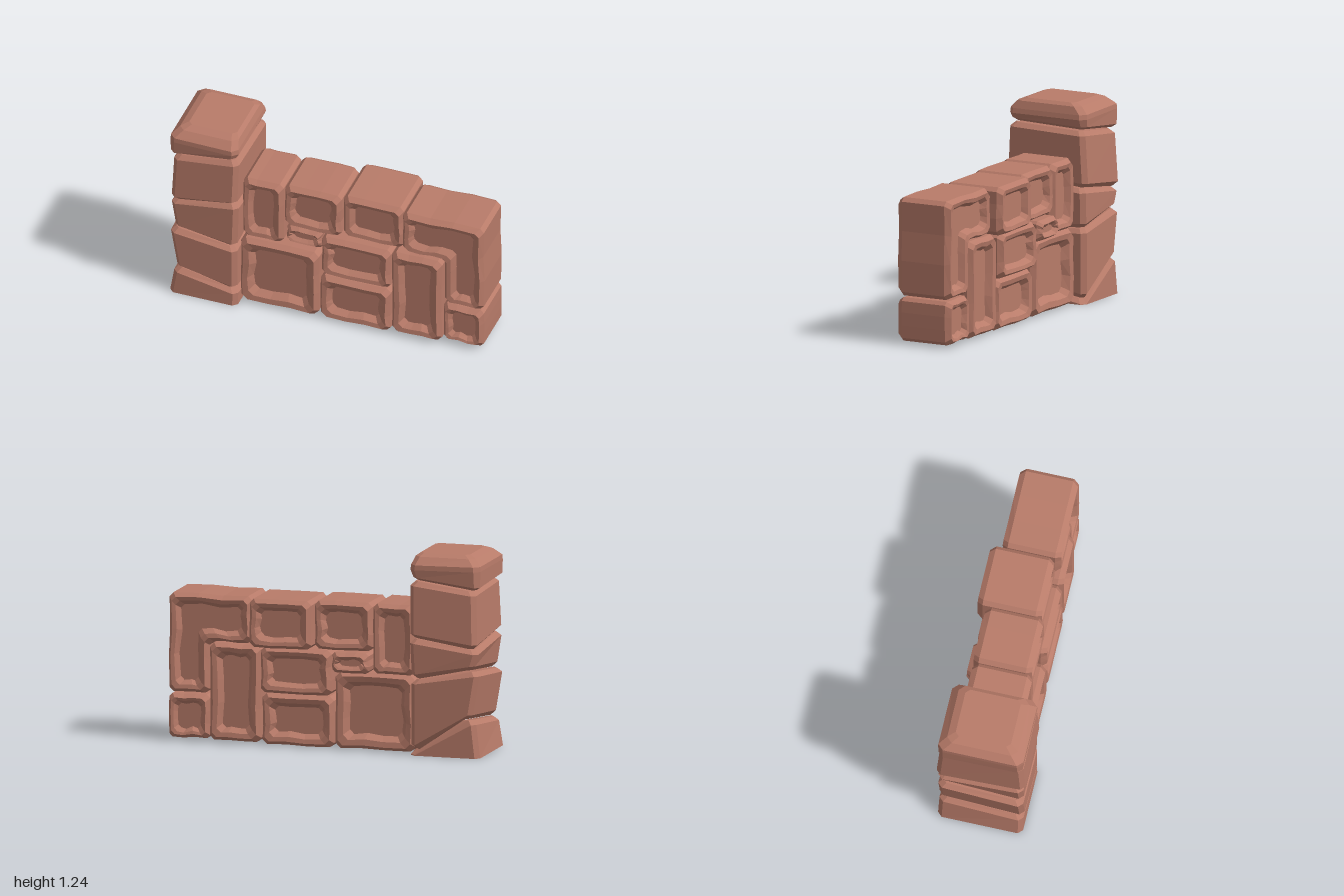
import * as THREE from 'three';

const clay = new THREE.MeshStandardMaterial({ color: 0xb87b69, flatShading: true });
clay.name = 'clay stone';

// Joins rings of [x, y, z] stacked along +z (each counter-clockwise) and caps both ends.
function loft(rings) {
  const n = rings[0].length, pos = rings.flat(2), index = [];
  for (let r = 0; r < rings.length - 1; r++) {
    for (let i = 0; i < n; i++) {
      const a = r * n + i, b = r * n + (i + 1) % n;
      index.push(a, b, b + n, a, b + n, a + n);
    }
  }
  for (const [r, flip] of [[0, true], [rings.length - 1, false]]) {
    const flat = rings[r].map(p => new THREE.Vector2(p[0], p[1]));
    for (const [a, b, c] of THREE.ShapeUtils.triangulateShape(flat, [])) {
      const ccw = THREE.ShapeUtils.area([flat[a], flat[b], flat[c]]) > 0;
      const o = r * n;
      if (ccw !== flip) index.push(o + a, o + b, o + c);
      else index.push(o + a, o + c, o + b);
    }
  }
  const geo = new THREE.BufferGeometry();
  geo.setAttribute('position', new THREE.Float32BufferAttribute(pos, 3));
  geo.setIndex(index);
  const out = geo.toNonIndexed();
  out.computeVertexNormals();
  return out;
}

function noise(seed, i) {
  const s = Math.sin(seed * 12.99 + i * 78.23) * 43758.55;
  return (s - Math.floor(s)) * 2 - 1;
}

// Unit direction from a to b.
function dir(a, b) {
  const l = Math.hypot(b[0] - a[0], b[1] - a[1]);
  return [(b[0] - a[0]) / l, (b[1] - a[1]) / l];
}

// Right-angled outline moved inwards, with cut corners and gently uneven edges.
function outline(corners, inset, cut, wobble, seed, z) {
  const n = corners.length;
  const moved = corners.map((p, i) => {
    const e = dir(corners[(i + n - 1) % n], p), f = dir(p, corners[(i + 1) % n]);
    return [p[0] - inset * (e[1] + f[1]), p[1] + inset * (e[0] + f[0])];
  });
  const pts = [];
  moved.forEach((p, i) => {
    const q = moved[(i + 1) % n], d = dir(p, q), len = Math.hypot(q[0] - p[0], q[1] - p[1]);
    [cut, len * 0.36, len * 0.66, len - cut].forEach((s, k) => {
      const w = k === 1 || k === 2 ? wobble * noise(seed, i * 4 + k) : 0;
      pts.push([p[0] + d[0] * s - d[1] * w, p[1] + d[1] * s + d[0] * w, z]);
    });
  });
  return pts;
}

// Wall stone: chamfered block with a sunken panel on the front and on the back.
function wallStone(name, corners, back, front, rim, seed) {
  const ring = (inset, z, wobble, cut) => outline(corners, inset, cut, wobble, seed, z);
  const sunk = rim * 0.9, c = rim * 0.55;
  const half = (z, s) => [
    ring(rim * 1.55, z + s * sunk, 0.012, c * 0.9),
    ring(rim, z + s * 0.006, 0.01, c),
    ring(0.022, z, 0.007, c),
    ring(0, z + s * 0.035, 0.005, c),
  ];
  const mesh = new THREE.Mesh(loft([...half(back, 1), ...half(front, -1).reverse()]), clay);
  mesh.name = name;
  return mesh;
}

// Pillar ring: rectangle with cut corners; heights run front-left, front-right,
// back-right, back-left as seen from the front.
function pillarRing(x0, x1, zBack, zFront, heights, lift, cut) {
  const corners = [[x0, -zFront], [x1, -zFront], [x1, -zBack], [x0, -zBack]];
  const pts = [];
  corners.forEach((p, i) => {
    for (const j of [(i + 3) % 4, (i + 1) % 4]) {
      const d = dir(p, corners[j]);
      pts.push([p[0] + d[0] * cut, p[1] + d[1] * cut, heights[i] + lift]);
    }
  });
  return pts;
}

function pillarStone(name, rings) {
  const mesh = new THREE.Mesh(loft(rings.map(r => pillarRing(...r))).rotateX(-Math.PI / 2), clay);
  mesh.name = name;
  return mesh;
}

export function createModel() {
  const model = new THREE.Group();
  model.name = 'stone wall';

  // Rectangular wall stones: x0, x1, y0, y1, back, front, rim
  const wall = new THREE.Group();
  wall.name = 'wall';
  [
    ['bigStone', -0.565, -0.06, 0.005, 0.475, -0.2, 0.205, 0.056],
    ['lowerMiddleStone', -0.05, 0.405, 0.005, 0.32, -0.2, 0.2, 0.05],
    ['tallStone', 0.41, 0.735, 0.015, 0.615, -0.21, 0.195, 0.05],
    ['cornerStone', 0.735, 0.995, 0.02, 0.29, -0.205, 0.165, 0.038],
    ['middleStone', -0.045, 0.405, 0.33, 0.61, -0.235, 0.195, 0.046],
    ['smallStone', -0.285, -0.055, 0.48, 0.605, -0.25, 0.15, 0.03],
    ['upperLeftStone', -0.56, -0.3, 0.475, 0.91, -0.2, 0.175, 0.046],
    ['upperMiddleStone', -0.295, 0.07, 0.612, 0.91, -0.205, 0.16, 0.046],
    ['upperRightStone', 0.075, 0.465, 0.612, 0.91, -0.265, 0.135, 0.046],
  ].forEach(([name, x0, x1, y0, y1, back, front, rim], i) => {
    const corners = [[x0, y0], [x1, y0], [x1, y1], [x0, y1]];
    wall.add(wallStone(name, corners, back, front, rim, i + 1));
  });

  // L-shaped stone at the upper end
  const bend = [[0.742, 0.3], [0.995, 0.3], [0.995, 0.91], [0.47, 0.91], [0.47, 0.622], [0.742, 0.622]];
  wall.add(wallStone('bentStone', bend, -0.2, 0.165, 0.046, 14));
  model.add(wall);

  // Pillar of stacked stones with slanting joints
  const pillar = new THREE.Group();
  pillar.name = 'pillar';
  const joints = [
    [0, 0, 0, 0],
    [0.185, 0.115, 0.035, 0.235],
    [0.485, 0.435, 0.47, 0.535],
    [0.71, 0.765, 0.72, 0.67],
    [1.045, 1.09, 1.075, 1.03],
  ];
  // Left, right and depth at the bottom and at the top of each stone
  const sides = [
    [[-1, -0.56, 0.265], [-0.975, -0.56, 0.262]],
    [[-0.955, -0.565, 0.265], [-0.995, -0.565, 0.265]],
    [[-0.965, -0.565, 0.262], [-0.99, -0.555, 0.265]],
    [[-0.985, -0.56, 0.277], [-0.975, -0.555, 0.262]],
  ];
  sides.forEach(([[a0, a1, az], [b0, b1, bz]], i) => {
    const low = joints[i], high = joints[i + 1], t = 0.028;
    const rings = [
      [a0, a1, -az, az, low, 0.03, 0.028],
      [b0, b1, -bz, bz, high, -0.03, 0.028],
      [b0 + t, b1 - t, -bz + t, bz - t, high, -0.003, 0.022],
    ];
    if (i > 0) rings.unshift([a0 + t, a1 - t, -az + t, az - t, low, 0.003, 0.022]);
    else rings[0][5] = 0;
    pillar.add(pillarStone('pillarStone' + (i + 1), rings));
  });

  // Cap stone
  const rimY = [1.18, 1.175, 1.175, 1.18], topY = [1.24, 1.24, 1.24, 1.24];
  pillar.add(pillarStone('capStone', [
    [-0.97, -0.6, -0.235, 0.235, joints[4], 0.004, 0.02],
    [-0.998, -0.575, -0.262, 0.262, joints[4], 0.022, 0.03],
    [-1, -0.555, -0.267, 0.267, rimY, -0.03, 0.035],
    [-0.998, -0.56, -0.265, 0.265, rimY, 0, 0.035],
    [-0.955, -0.575, -0.22, 0.22, topY, -0.018, 0.035],
    [-0.91, -0.6, -0.175, 0.17, topY, 0, 0.025],
  ]));
  model.add(pillar);
  return model;
}
